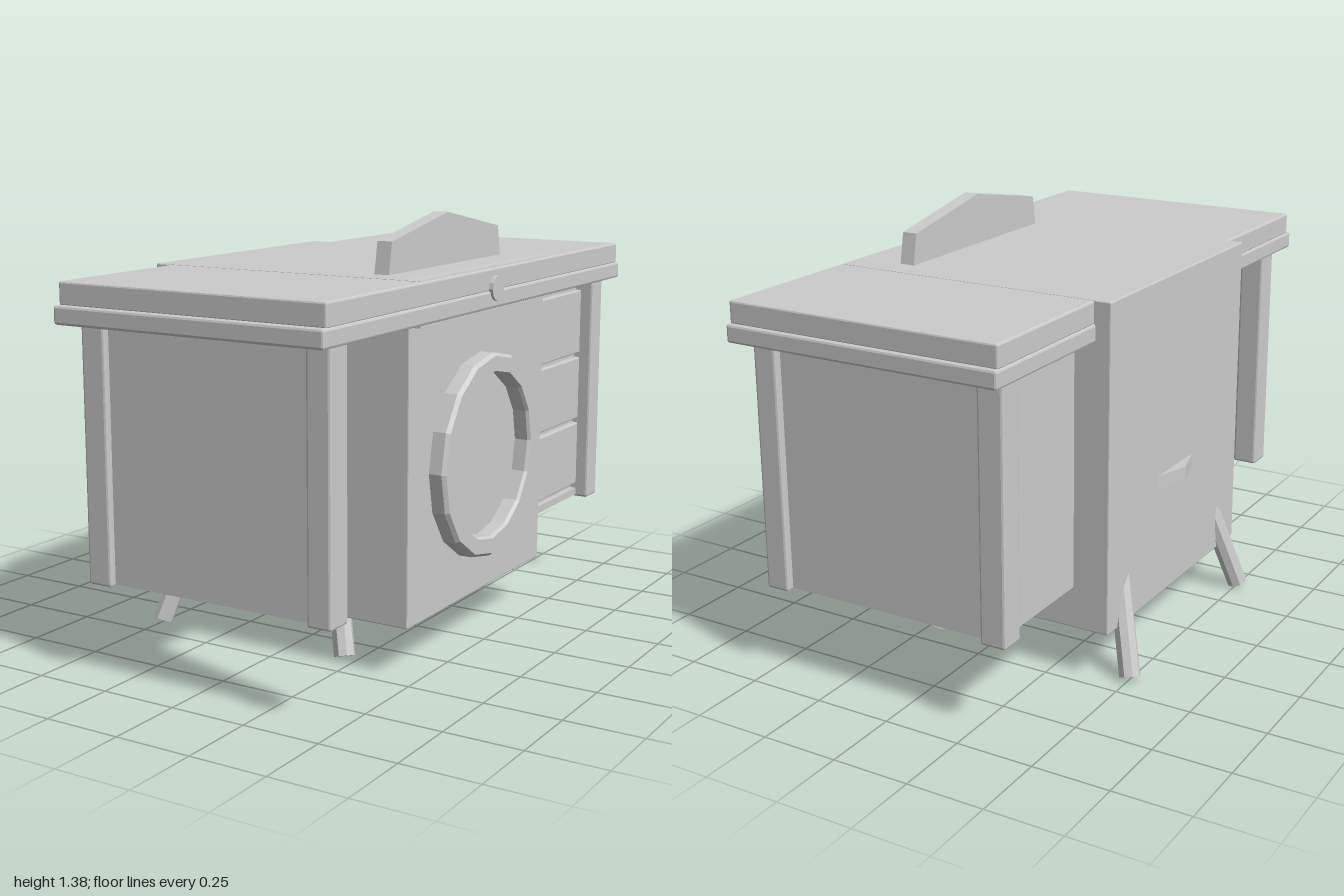
import * as THREE from 'three';
import { RoundedBoxGeometry } from 'three/addons/geometries/RoundedBoxGeometry.js';

export function createModel() {
  const model = new THREE.Group();
  const grey = new THREE.MeshStandardMaterial({ color: 0xcccccc, flatShading: true });

  const add = (name, geometry) => {
    const mesh = new THREE.Mesh(geometry, grey);
    mesh.name = name;
    model.add(mesh);
    return mesh;
  };
  // Box given by its limits, with a small chamfer when bevel > 0
  const block = (name, [x0, x1], [y0, y1], [z0, z1], bevel = 0) => {
    const size = [x1 - x0, y1 - y0, z1 - z0];
    const geometry = bevel
      ? new RoundedBoxGeometry(...size, 1, bevel)
      : new THREE.BoxGeometry(...size);
    add(name, geometry).position.set((x0 + x1) / 2, (y0 + y1) / 2, (z0 + z1) / 2);
  };
  // Flat polygon given thickness
  const plate = (points, depth) => new THREE.ExtrudeGeometry(
    new THREE.Shape(points.map(([x, y]) => new THREE.Vector2(x, y))),
    { depth, bevelEnabled: false });

  // Stepped table top
  block('tableTopLower', [-0.4, 0.522], [1.085, 1.142], [-1, 1], 0.008);
  block('tableTopUpper', [-0.395, 0.517], [1.138, 1.21], [-0.985, 0.978], 0.006);

  // Machine body and the strip under the table edge
  block('machineBody', [-0.45, 0.47], [0.16, 1.212], [-0.465, 0.455], 0.004);
  block('controlStrip', [-0.4, 0.505], [1.075, 1.211], [-0.464, 0.454]);

  // Corner posts
  for (const z of [[0.825, 0.917], [-0.925, -0.84]]) {
    for (const x of [[-0.37, -0.285], [0.41, 0.49]]) {
      block('cornerPost', x, [0.29, 1.09], z, 0.008);
    }
  }

  // End panel on one side, drawer cabinet on the other
  block('endPanel', [-0.32, 0.44], [0.297, 1.09], [0.84, 0.895]);
  block('drawerCabinet', [-0.33, 0.425], [0.297, 1.09], [-0.9, -0.42]);
  const gaps = [0.33, 0.575, 0.815, 1.058];
  for (let i = 0; i < 3; i++) {
    block('drawerFront', [0.4, 0.445], [gaps[i] + 0.008, gaps[i + 1] - 0.008], [-0.85, -0.45], 0.005);
  }
  block('drawerRailBottom', [0.4, 0.445], [0.297, gaps[0] - 0.008], [-0.85, -0.45]);
  block('drawerRailTop', [0.4, 0.445], [gaps[3] + 0.008, 1.09], [-0.85, -0.45]);

  // Door ring, turned from a chamfered profile
  const ringProfile = [
    [0.265, -0.01], [0.265, 0.045], [0.272, 0.055], [0.32, 0.055],
    [0.33, 0.043], [0.33, -0.01], [0.265, -0.01],
  ].map(([r, h]) => new THREE.Vector2(r, h)).reverse();
  const ringGeometry = new THREE.LatheGeometry(ringProfile, 16);
  ringGeometry.rotateZ(-Math.PI / 2);
  const ring = add('doorRing', ringGeometry);
  ring.position.set(0.47, 0.615, 0);
  ring.material = grey.clone();
  ring.material.side = THREE.DoubleSide;

  // Round knob on the table edge
  const knob = add('knob', new THREE.CylinderGeometry(0.04, 0.04, 0.05, 12));
  knob.rotation.z = -Math.PI / 2;
  knob.position.set(0.505, 1.147, 0);

  // Peaked board standing on the top
  const board = plate([
    [-0.37, 1.2], [0.374, 1.2], [0.353, 1.31], [0, 1.376], [-0.35, 1.31],
  ], 0.05);
  board.rotateY(Math.PI / 2);
  add('standingBoard', board).position.x = 0.3;

  // Peaked handle on the back
  const handle = plate([
    [-0.42, -0.14], [-0.45, -0.14], [-0.485, -0.015], [-0.45, 0.11], [-0.42, 0.11],
  ].reverse(), 0.045);
  handle.rotateX(Math.PI / 2);
  add('backHandle', handle).position.y = 0.575;

  // Splayed legs
  const up = new THREE.Vector3(0, 1, 0);
  for (const [x, sx] of [[-0.5, 1], [0.215, -1]]) {
    for (const sz of [1, -1]) {
      const direction = new THREE.Vector3(0.28 * sx, 1, -0.27 * sz).normalize();
      const length = 0.34;
      const leg = add('leg', new THREE.CylinderGeometry(0.034, 0.034, length, 8));
      leg.quaternion.setFromUnitVectors(up, direction);
      leg.position.set(x, 0.013, 0.405 * sz - 0.005).addScaledVector(direction, length / 2);
    }
  }

  return model;
}
